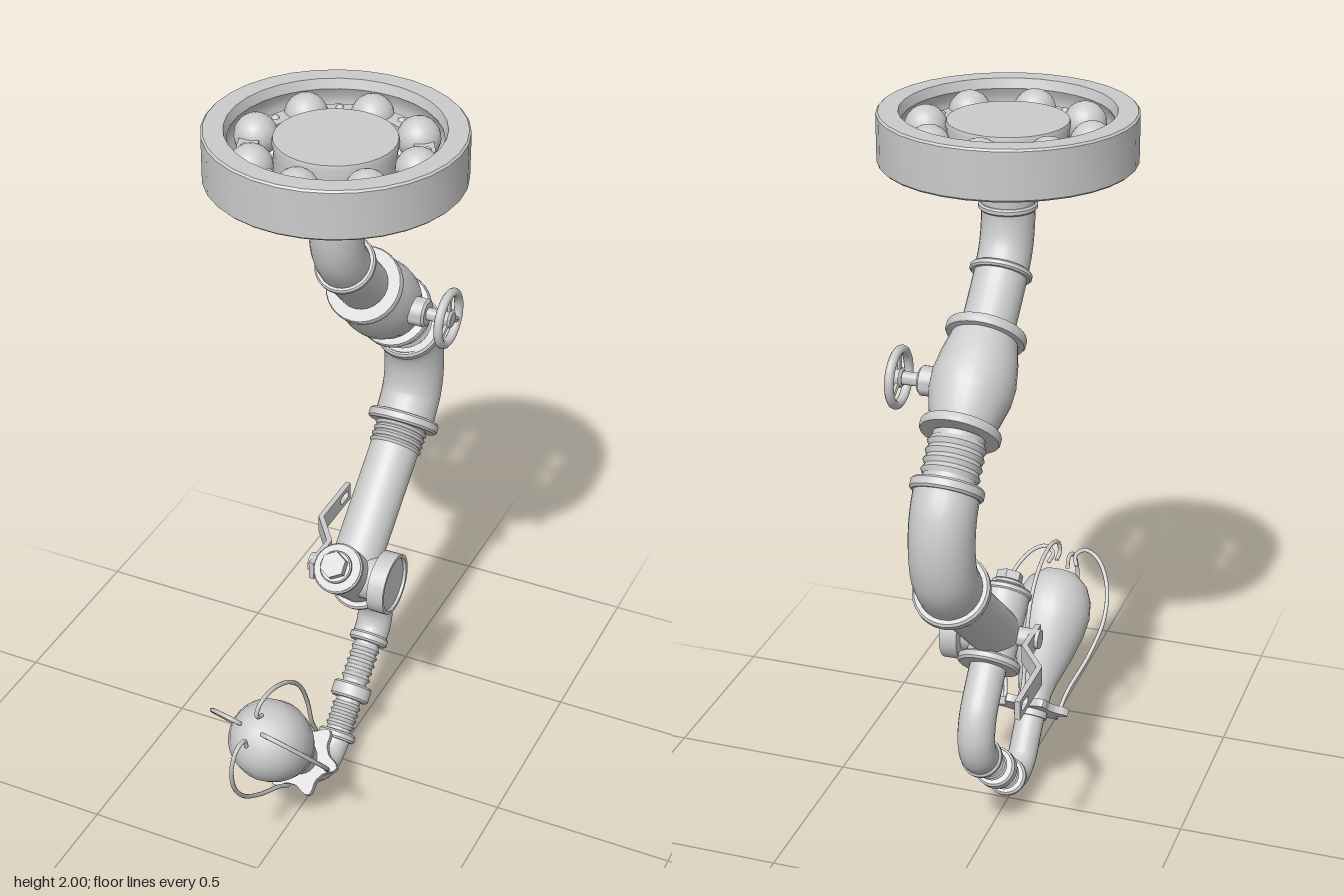
import * as THREE from 'three';
import { toCreasedNormals } from 'three/addons/utils/BufferGeometryUtils.js';

const material = new THREE.MeshStandardMaterial({ color: 0xcccccc, side: THREE.DoubleSide });
const UP = new THREE.Vector3(0, 1, 0);
const V = (z, y, x = 0) => new THREE.Vector3(x, y, z);

export function createModel() {
  const model = new THREE.Group();

  function add(name, geometry, parent = model) {
    const mesh = new THREE.Mesh(geometry, material);
    mesh.name = name;
    parent.add(mesh);
    return mesh;
  }
  // Turned part: profile of [radius, height along the axis]
  function turned(name, profile, origin, dir, parent = model, sides = 28) {
    const points = profile.map(p => new THREE.Vector2(p[0], p[1]));
    const mesh = add(name, toCreasedNormals(new THREE.LatheGeometry(points, sides), 0.6), parent);
    mesh.position.copy(origin);
    mesh.quaternion.setFromUnitVectors(UP, dir.clone().normalize());
    return mesh;
  }
  function collar(name, at, dir, r, h, parent) {
    const b = Math.min(0.006, h / 4), k = h / 2;
    return turned(name, [[0, -k], [r - b, -k], [r, -k + b], [r, k - b], [r - b, k], [0, k]], at, dir, parent);
  }
  function rod(name, a, b, r, parent, sides) {
    const d = b.clone().sub(a), l = d.length();
    return turned(name, [[0, 0], [r, 0], [r, l], [0, l]], a, d, parent, sides);
  }
  function pipe(name, points, r, parent) {
    const curve = new THREE.CatmullRomCurve3(points, false, 'centripetal');
    return add(name, new THREE.TubeGeometry(curve, 40, r, 24), parent);
  }
  // Screw thread as a zigzag profile
  function thread(name, a, b, r, turns) {
    const d = b.clone().sub(a), l = d.length(), profile = [];
    for (let i = 0; i <= turns * 2; i++) profile.push([r + (i % 2) * 0.007, l * i / (turns * 2)]);
    turned(name, profile, a, d);
  }

  // Ceiling bearing
  const bearing = new THREE.Group();
  bearing.name = 'ceilingBearing';
  model.add(bearing);
  const zero = V(0, 0);
  turned('outerRace', [[0.265, 1.87], [0.32, 1.87], [0.325, 1.875], [0.325, 1.995], [0.32, 2], [0.27, 2],
    [0.262, 1.975], [0.272, 1.955], [0.275, 1.935], [0.272, 1.915], [0.262, 1.895], [0.265, 1.87]], zero, UP, bearing, 32);
  turned('innerRace', [[0, 1.88], [0.15, 1.88], [0.155, 1.9], [0.15, 1.935], [0.155, 1.965], [0.152, 1.975], [0, 1.975]],
    zero, UP, bearing, 32);
  turned('ballCage', [[0.19, 1.925], [0.24, 1.925], [0.24, 1.945], [0.19, 1.945], [0.19, 1.925]], zero, UP, bearing, 32);
  for (let i = 0; i < 8; i++) {
    const a = i * Math.PI / 4, b = a + Math.PI / 8;
    add('bearingBall', new THREE.SphereGeometry(0.055, 20, 14), bearing)
      .position.set(0.215 * Math.cos(a), 1.935, 0.215 * Math.sin(a));
    const rivet = add('cageRivet', new THREE.SphereGeometry(0.013, 10, 8), bearing);
    rivet.position.set(0.22 * Math.cos(b), 1.935, 0.22 * Math.sin(b));
    rivet.scale.y = 1.4;
  }

  // Upper pipe
  collar('topFlange', V(0, 1.855), UP, 0.1, 0.05);
  collar('topFlangeStep', V(0, 1.823), UP, 0.088, 0.03);
  pipe('upperElbow', [V(0, 1.88), V(0, 1.8), V(0, 1.72), V(-0.018, 1.65), V(-0.06, 1.59), V(-0.165, 1.48)], 0.068);
  collar('pipeRing', V(0, 1.755), UP, 0.075, 0.018);
  collar('pipeRing', V(-0.057, 1.595), V(-0.65, -0.76), 0.08, 0.018);

  // Valve body with hand wheel
  const valveTop = V(-0.165, 1.48), valveEnd = V(-0.38, 1.284);
  turned('valveBody', [[0, 0], [0.1, 0], [0.103, 0.005], [0.103, 0.02], [0.1, 0.025], [0.085, 0.027], [0.098, 0.08],
    [0.107, 0.14], [0.105, 0.18], [0.09, 0.24], [0.08, 0.266], [0.1, 0.268], [0.103, 0.273], [0.103, 0.287], [0.1, 0.292], [0, 0.292]],
    valveTop, valveEnd.clone().sub(valveTop));
  const wheel = new THREE.Group();
  wheel.name = 'handWheel';
  wheel.position.set(0, 1.37, -0.27);
  model.add(wheel);
  const X = V(0, 0, 1);
  collar('stemBase', V(0, 0, 0.115), X, 0.038, 0.05, wheel);
  rod('stem', V(0, 0, 0.09), V(0, 0, 0.208), 0.017, wheel);
  collar('wheelHub', V(0, 0, 0.197), X, 0.026, 0.025, wheel);
  const rim = add('wheelRim', new THREE.TorusGeometry(0.07, 0.012, 10, 28), wheel);
  rim.rotation.y = Math.PI / 2;
  rim.position.x = 0.197;
  for (let i = 0; i < 3; i++) {
    const a = Math.PI / 2 + i * Math.PI * 2 / 3;
    rod('wheelSpoke', V(0, 0, 0.197), V(0.07 * Math.cos(a), 0.07 * Math.sin(a), 0.197), 0.009, wheel, 8);
  }

  // Large elbow and arm
  rod('valveOutlet', valveEnd, V(-0.47, 1.185), 0.066);
  thread('outletThread', V(-0.39, 1.274), V(-0.455, 1.202), 0.068, 4);
  collar('elbowCollar', V(-0.472, 1.182), V(-0.6, -0.75), 0.093, 0.03);
  pipe('largeElbow', [V(-0.47, 1.185), V(-0.503, 1.125), V(-0.516, 1.05), V(-0.502, 0.965), V(-0.445, 0.885)], 0.083);
  collar('elbowCollar', V(-0.447, 0.89), V(0.65, -0.72), 0.1, 0.03);
  rod('armPipe', V(-0.445, 0.885), V(-0.107, 0.59), 0.069);
  thread('armThread', V(-0.437, 0.878), V(-0.385, 0.833), 0.068, 4);

  // Joint with bolt, cap and lever
  const jointDir = V(-0.72, -0.69);
  rod('jointBody', V(-0.01, 0.672), V(-0.165, 0.525), 0.066);
  collar('jointFlange', V(-0.017, 0.665), jointDir, 0.07, 0.02);
  rod('hexBolt', V(0.02, 0.705), V(-0.02, 0.665), 0.037, model, 6);
  collar('boltWasher', V(-0.002, 0.681), jointDir, 0.045, 0.014);
  collar('jointCollar', V(-0.163, 0.527), jointDir, 0.085, 0.026);
  turned('jointCap', [[0, 0], [0.06, 0], [0.06, 0.08], [0.086, 0.082], [0.086, 0.13], [0.076, 0.13], [0.074, 0.122], [0, 0.122]],
    V(-0.107, 0.59), X);
  rod('leverPivot', V(-0.107, 0.59), V(-0.107, 0.59, -0.125), 0.026);
  const lever = new THREE.Group();
  lever.name = 'lever';
  model.add(lever);
  const bend = new THREE.Shape([[-0.1, 0.07], [-0.1, 0.19], [-0.17, 0.285], [-0.17, 0.32], [-0.185, 0.32],
    [-0.185, 0.28], [-0.115, 0.185], [-0.115, 0.07]].map(p => new THREE.Vector2(...p)));
  const bar = add('leverBend', new THREE.ExtrudeGeometry(bend, { depth: 0.054, bevelEnabled: false }), lever);
  bar.rotation.x = -Math.PI / 2;
  bar.position.y = 0.56;
  const plate = new THREE.Shape([[0.32, 0], [0.465, 0], [0.465, 0.054], [0.32, 0.054]].map(p => new THREE.Vector2(...p)));
  const slot = new THREE.Path();
  slot.absarc(0.41, 0.027, 0.012, Math.PI / 2, Math.PI * 1.5);
  slot.absarc(0.438, 0.027, 0.012, -Math.PI / 2, Math.PI / 2);
  plate.holes.push(slot);
  const end = add('leverHandle', new THREE.ExtrudeGeometry(plate, { depth: 0.015, bevelEnabled: false }), lever);
  end.rotation.y = Math.PI / 2;
  end.position.set(-0.185, 0.56, 0);

  // Lower pipes
  pipe('lowerElbow', [V(-0.155, 0.535), V(-0.21, 0.475), V(-0.255, 0.415), V(-0.27, 0.35), V(-0.255, 0.3), V(-0.222, 0.268)], 0.05);
  const lowDir = V(0.73, -0.66);
  collar('lowerCollar', V(-0.225, 0.27), lowDir, 0.056, 0.026);
  rod('lowerPipe', V(-0.225, 0.27), V(-0.005, 0.072), 0.035);
  thread('lowerThread', V(-0.21, 0.257), V(-0.13, 0.184), 0.035, 5);
  thread('lowerThread', V(-0.08, 0.14), V(-0.025, 0.09), 0.035, 4);
  collar('coupling', V(-0.105, 0.163), lowDir, 0.056, 0.045);
  collar('lowerCollar', V(-0.008, 0.076), lowDir, 0.054, 0.024);
  pipe('bottomElbow', [V(-0.015, 0.083), V(0.025, 0.053), V(0.07, 0.041), V(0.12, 0.058), V(0.165, 0.11), V(0.22, 0.172)], 0.041);

  // Lamp head, built along its own y axis
  const lamp = new THREE.Group();
  lamp.name = 'lampHead';
  lamp.position.copy(V(0.218, 0.172));
  lamp.quaternion.setFromUnitVectors(UP, V(0.66, 0.75).normalize());
  model.add(lamp);
  const star = new THREE.Shape();
  for (let i = 0; i <= 72; i++) {
    const a = i * Math.PI / 36, r = 0.078 + 0.03 * Math.pow(Math.cos(a * 3), 4);
    star[i ? 'lineTo' : 'moveTo'](r * Math.cos(a), r * Math.sin(a));
  }
  const starPlate = add('starPlate', toCreasedNormals(new THREE.ExtrudeGeometry(star, { depth: 0.022, bevelEnabled: false }), 0.6), lamp);
  starPlate.rotation.x = -Math.PI / 2;
  starPlate.position.y = -0.011;
  rod('socket', V(0, -0.03), V(0, 0.06), 0.047, lamp);
  turned('bulb', [[0, 0.03], [0.045, 0.03], [0.057, 0.08], [0.082, 0.15], [0.104, 0.23], [0.11, 0.28], [0.104, 0.33],
    [0.085, 0.37], [0.05, 0.4], [0, 0.41]], zero, UP, lamp);
  // Cage wires bow outwards and hook in at the tip
  const wire = [[0.085, 0], [0.098, 0.06], [0.14, 0.17], [0.163, 0.28], [0.15, 0.38], [0.105, 0.455], [0.06, 0.475], [0.035, 0.455], [0.045, 0.425]];
  for (let i = 0; i < 4; i++) {
    const a = 0.15 + i * Math.PI / 2;
    const curve = new THREE.CatmullRomCurve3(wire.map(([r, y]) => V(r * Math.sin(a), y, r * Math.cos(a))));
    add('cageWire', new THREE.TubeGeometry(curve, 48, 0.006, 8), lamp);
  }
  return model;
}
